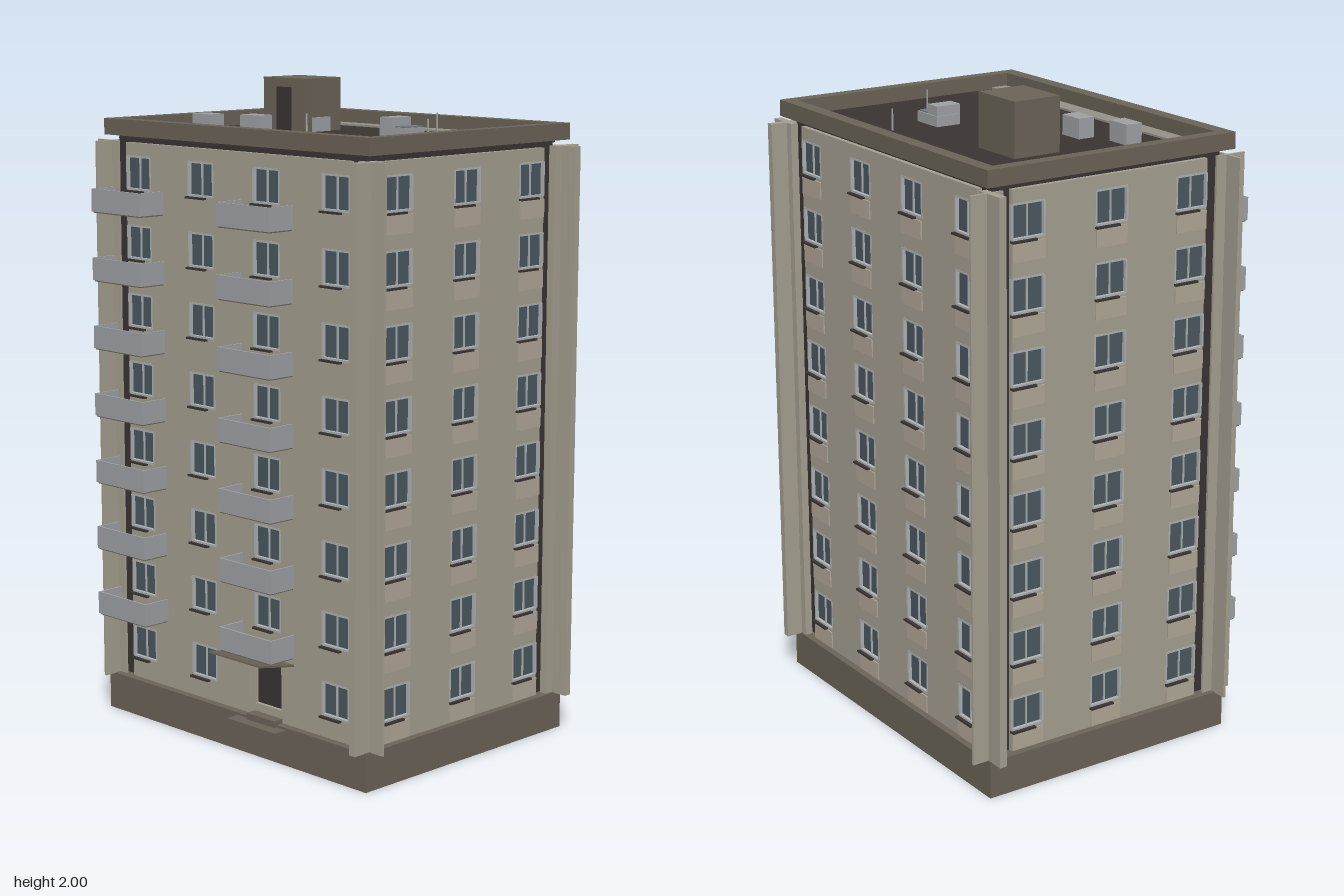
import * as THREE from 'three';
import { mergeGeometries } from 'three/addons/utils/BufferGeometryUtils.js';

const mat = (color) => new THREE.MeshStandardMaterial({ color, flatShading: true });
const M = {
  wall: mat(0xa8a192), panel: mat(0xb3a999), trim: mat(0x6c6457), dark: mat(0x3a3433),
  glass: mat(0x4b5861), frame: mat(0xb0b4b5), metal: mat(0xa0a3a6), strip: mat(0x96938a),
};

// Box geometry given by its lower and upper corners
function slab(x0, x1, y0, y1, z0, z1) {
  return new THREE.BoxGeometry(x1 - x0, y1 - y0, z1 - z0)
    .translate((x0 + x1) / 2, (y0 + y1) / 2, (z0 + z1) / 2);
}

function add(parent, name, material, ...geos) {
  const mesh = new THREE.Mesh(geos.length > 1 ? mergeGeometries(geos) : geos[0], material);
  mesh.name = name;
  parent.add(mesh);
  return mesh;
}

const ROWS = 8, PITCH = 0.2121, FIRST = 0.235; // storeys, by window centre
const W = 0.054, H = 0.05; // window half sizes
const WALL_BOTTOM = 0.115, WALL_TOP = 1.812, DEPTH = 0.015;

function rectPath(x0, x1, y0, y1, Type) {
  const p = new Type();
  p.moveTo(x0, y0);
  p.lineTo(x1, y0);
  p.lineTo(x1, y1);
  p.lineTo(x0, y1);
  p.closePath();
  return p;
}

// One wall in its own plane: outer face at z = 0, u along x
function facade(name, u0, u1, columns, { spandrels = true, doorColumn = -1 } = {}) {
  const g = new THREE.Group();
  g.name = name;
  const shape = rectPath(u0, u1, WALL_BOTTOM, WALL_TOP, THREE.Shape);
  const glass = [], frames = [], sills = [], panels = [];
  columns.forEach((u, c) => {
    for (let r = 0; r < ROWS; r++) {
      const y = FIRST + r * PITCH;
      if (r === 0 && c === doorColumn) {
        shape.holes.push(rectPath(u - 0.057, u + 0.057, 0.155, 0.295, THREE.Path));
        continue;
      }
      shape.holes.push(rectPath(u - W, u + W, y - H, y + H, THREE.Path));
      glass.push(slab(u - W, u + W, y - H, y + H, -DEPTH, -0.010));
      // Frame edges and the centre bar
      for (const s of [-1, 1]) {
        frames.push(slab(u + s * W - 0.003, u + s * W + 0.003, y - H, y + H, -0.011, 0.001));
        frames.push(slab(u - W, u + W, y + s * H - 0.003, y + s * H + 0.003, -0.011, 0.001));
      }
      frames.push(slab(u - 0.002, u + 0.002, y - H, y + H, -0.011, -0.005));
      sills.push(slab(u - W - 0.004, u + W - 0.03, y - H - 0.009, y - H - 0.003, -0.005, 0.012));
      if (spandrels) panels.push(slab(u - W, u + W, y - H - 0.065, y - H - 0.01, -0.005, 0.004));
    }
  });
  const wall = new THREE.ExtrudeGeometry(shape, { depth: DEPTH, bevelEnabled: false });
  add(g, 'wall', M.wall, wall.translate(0, 0, -DEPTH));
  add(g, 'windowGlass', M.glass, ...glass);
  add(g, 'windowFrames', M.frame, ...frames);
  add(g, 'windowSills', M.dark, ...sills);
  if (panels.length) add(g, 'spandrels', M.panel, ...panels);
  return g;
}

export function createModel() {
  const model = new THREE.Group();
  model.name = 'apartmentTower';

  // Plinth and dark core, which shows in the corner slots
  add(model, 'plinth', M.trim, slab(-0.573, 0.573, 0, 0.117, -0.467, 0.4));
  add(model, 'core', M.dark, slab(-0.535, 0.535, 0.11, 1.825, -0.43, 0.36));

  // Four facades
  const front = [-0.428, -0.145, 0.138, 0.424], side = [0.25, -0.035, -0.32];
  const f = facade('frontFacade', -0.485, 0.48, front, { spandrels: false, doorColumn: 2 });
  f.position.z = 0.375;
  const b = facade('backFacade', -0.482, 0.485, front.map((x) => -x));
  b.position.z = -0.445;
  b.rotation.y = Math.PI;
  const r = facade('rightFacade', -0.305, 0.375, side.map((z) => -z));
  r.position.x = 0.55;
  r.rotation.y = Math.PI / 2;
  const l = facade('leftFacade', -0.375, 0.305, side);
  l.position.x = -0.55;
  l.rotation.y = -Math.PI / 2;
  model.add(f, b, r, l);

  // Crossed corner fins
  const fins = [];
  for (const s of [-1, 1]) {
    const t = s > 0 ? 0.012 : 0.004; // thin on one side, thick on the other
    const [xa, xb] = s > 0 ? [0.516, 0.617] : [-0.617, -0.52];
    const x = s * 0.553;
    fins.push(slab(x - t, x + t, 0.115, 1.815, 0.335, 0.437));
    fins.push(slab(x - t, x + t, 0.115, 1.815, -0.515, -0.408));
    fins.push(slab(xa, xb, 0.115, 1.815, 0.37, 0.378));
    fins.push(slab(xa, xb, 0.115, 1.815, -0.462, -0.438));
  }
  add(model, 'cornerFins', M.wall, ...fins);

  // Balconies: slab, front panel, two side panels
  const balconies = [], floors = [];
  for (const [x0, x1] of [[-0.54, -0.315], [0.026, 0.25]]) {
    for (let i = 0; i < ROWS - 1; i++) {
      const y = 0.33 + i * PITCH, top = y + 0.07;
      balconies.push(slab(x0, x1, y, top, 0.464, 0.47));
      balconies.push(slab(x0, x0 + 0.005, y, top, 0.375, 0.465));
      balconies.push(slab(x1 - 0.005, x1, y, top, 0.375, 0.465));
      floors.push(slab(x0 + 0.004, x1 - 0.004, y - 0.004, y + 0.004, 0.37, 0.466));
    }
  }
  add(model, 'balconyPanels', M.metal, ...balconies);
  add(model, 'balconyFloors', M.trim, ...floors);

  // Entrance: door, canopy and step
  add(model, 'entranceDoor', M.dark, slab(0.083, 0.193, 0.155, 0.293, 0.355, 0.363));
  const canopy = add(model, 'entranceCanopy', M.trim, slab(-0.112, 0.112, -0.003, 0.003, 0, 0.145));
  canopy.position.set(0.138, 0.305, 0.37);
  canopy.rotation.x = -0.18;
  add(model, 'entranceSteps', M.trim,
    slab(0.03, 0.24, 0.1, 0.11, 0.39, 0.445), slab(0.08, 0.2, 0.11, 0.13, 0.37, 0.41));

  // Parapet ring around the roof deck
  const ring = rectPath(-0.57, 0.57, -0.39, 0.468, THREE.Shape);
  ring.holes.push(rectPath(-0.53, 0.53, -0.345, 0.425, THREE.Path));
  const parapet = new THREE.ExtrudeGeometry(ring, { depth: 0.05, bevelEnabled: false });
  add(model, 'parapet', M.trim, parapet.rotateX(-Math.PI / 2).translate(0, 1.832, 0));
  add(model, 'roofDeck', M.dark, slab(-0.54, 0.54, 1.824, 1.836, -0.435, 0.355));
  add(model, 'roofEdgeStrips', M.strip,
    slab(-0.53, 0.53, 1.834, 1.842, -0.42, -0.365), slab(-0.53, 0.53, 1.834, 1.842, 0.285, 0.34));

  // Rooftop stair house
  add(model, 'stairHouse', M.trim, slab(-0.335, -0.153, 1.83, 2.0, -0.22, -0.063));
  add(model, 'stairHouseDoor', M.dark, slab(-0.275, -0.21, 1.836, 1.972, -0.065, -0.06));
  add(model, 'stairHouseHatch', M.metal, slab(-0.155, -0.146, 1.836, 1.88, -0.17, -0.095));

  // Roof vents, skylight and antennas
  add(model, 'roofVents', M.metal,
    slab(-0.375, -0.292, 1.832, 1.897, 0.145, 0.2), slab(-0.23, -0.147, 1.832, 1.897, 0.08, 0.135));
  add(model, 'skylightBase', M.metal,
    slab(0.143, 0.252, 1.832, 1.868, -0.172, -0.09), slab(0.148, 0.2, 1.865, 1.897, -0.168, -0.086));
  add(model, 'skylightGlass', mat(0x728089), slab(0.203, 0.247, 1.865, 1.872, -0.167, -0.095));
  const masts = [[0.18, -0.305], [0.365, -0.065], [-0.058, 0.02], [0.066, 0.14]].map(([x, z]) =>
    new THREE.CylinderGeometry(0.003, 0.003, 0.075, 6).translate(x, 1.864, z));
  add(model, 'antennas', M.metal, ...masts);

  return model;
}
